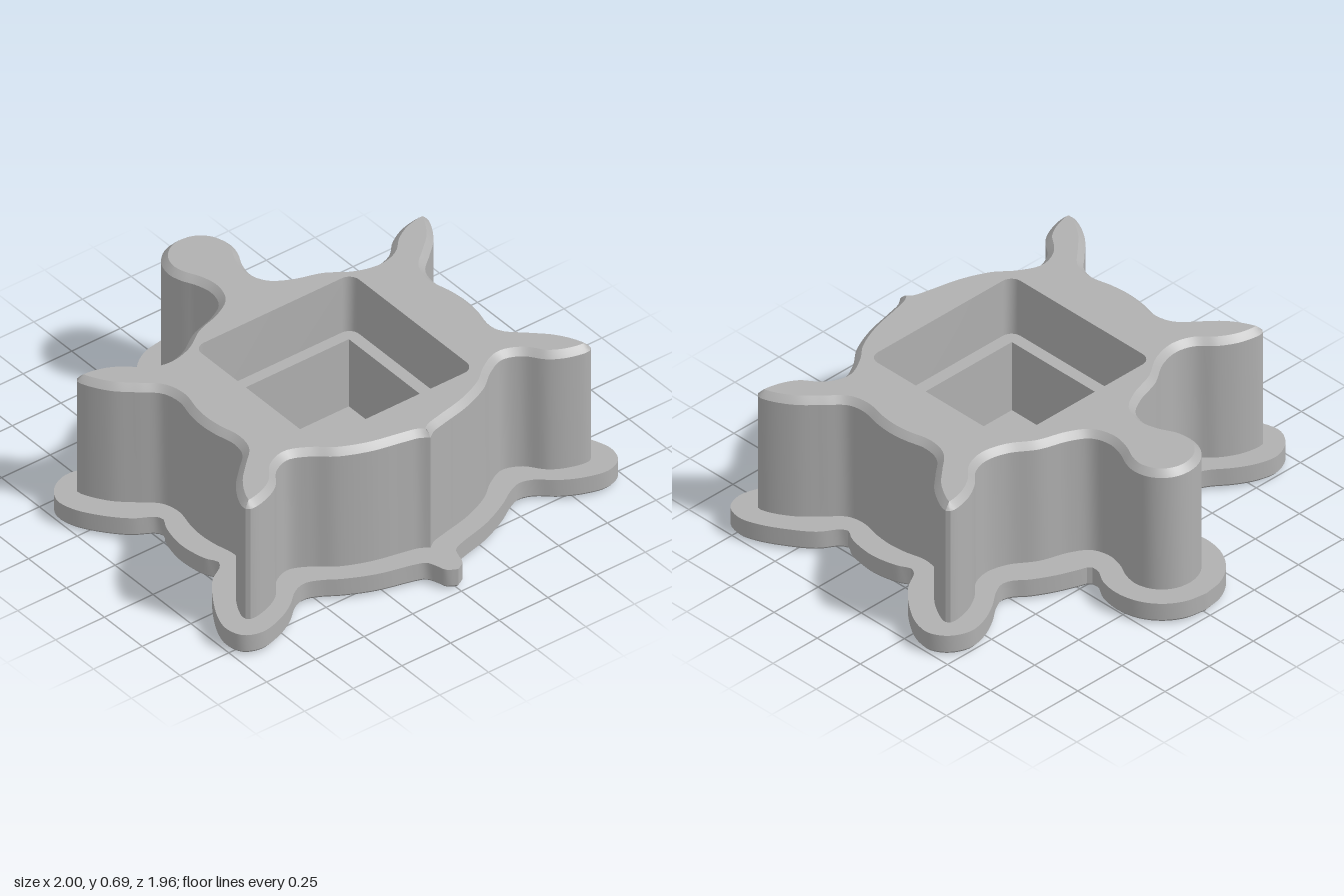
import * as THREE from 'three';
import { toCreasedNormals } from 'three/addons/utils/BufferGeometryUtils.js';

// Half outlines (x, z pairs) on the +x side, from the head at the back to the tail at the front
const BODY = [0, -.88, .045, -.874, .095, -.85, .14, -.80, .16, -.73, .148, -.665, .115, -.595, .1, -.52, .125, -.44, .2, -.39,
  .33, -.345, .44, -.275, .54, -.252, .62, -.275, .69, -.34, .78, -.388, .88, -.402, .897, -.385, .89, -.35, .83, -.25,
  .75, -.175, .675, -.105, .655, -.02, .675, .08, .682, .16, .675, .24, .655, .34, .67, .415, .74, .485, .82, .565,
  .875, .655, .889, .71, .87, .73, .78, .715, .7, .672, .63, .59, .55, .56, .46, .6, .38, .663, .25, .72, .1, .755, .035, .772, 0, .797];
const PLATE = [0, -.98, .1, -.96, .184, -.904, .24, -.82, .26, -.72, .245, -.63, .207, -.56, .212, -.52, .25, -.505, .35, -.465,
  .45, -.41, .505, -.367, .55, -.355, .6, -.375, .69, -.44, .78, -.485, .87, -.5, .955, -.46, .998, -.39, .995, -.335,
  .97, -.27, .9, -.17, .83, -.1, .75, -.05, .737, -.02, .762, .03, .785, .13, .785, .2, .765, .295, .737, .345,
  .755, .375, .83, .425, .91, .53, .97, .64, .99, .72, .965, .795, .89, .828, .78, .803, .69, .755, .61, .69,
  .55, .673, .49, .695, .41, .745, .28, .805, .115, .85, .075, .868, .057, .91, .042, .955, 0, .98];

// Smooth half curve mirrored into a closed loop of (x, z) points
function outline(flat) {
  const pts = [];
  for (let i = 0; i < flat.length; i += 2) pts.push(new THREE.Vector3(flat[i], flat[i + 1], 0));
  const half = new THREE.CatmullRomCurve3(pts).getSpacedPoints(180).map(p => new THREE.Vector2(p.x, p.y));
  const mirrored = half.slice(1, -1).reverse().map(p => new THREE.Vector2(-p.x, p.y));
  return [...half, ...mirrored];
}

// Move a loop inwards along its local normals
function inset(loop, d) {
  const n = loop.length;
  return loop.map((p, i) => {
    const t = loop[(i + 1) % n].clone().sub(loop[(i + n - 1) % n]).normalize();
    return new THREE.Vector2(p.x - t.y * d, p.y + t.x * d);
  });
}

// Rounded square or circle loop (radius = half size gives a circle)
function roundedLoop(half, radius, cz, steps) {
  const loop = [];
  for (let q = 0; q < 4; q++) {
    const cx = [1, -1, -1, 1][q], cy = [1, 1, -1, -1][q];
    for (let k = 0; k <= steps; k++) {
      if (radius === half && k === steps) continue;
      const a = (q + (steps ? k / steps : 0.5)) * Math.PI / 2;
      loop.push(new THREE.Vector2(
        cx * (half - radius) + radius * Math.cos(a),
        cz + cy * (half - radius) + radius * Math.sin(a)));
    }
  }
  return loop;
}

// Skin between stacked loops, each [loop, y], from low to high
function wall(rings, inward = false) {
  const n = rings[0][0].length, pos = [], idx = [];
  rings.forEach(([loop, y]) => loop.forEach(p => pos.push(p.x, y, p.y)));
  for (let r = 0; r < rings.length - 1; r++) {
    for (let i = 0; i < n; i++) {
      const j = (i + 1) % n, a = r * n + i, b = r * n + j, c = b + n, d = a + n;
      if (inward) idx.push(a, c, d, a, b, c);
      else idx.push(a, d, c, a, c, b);
    }
  }
  const g = new THREE.BufferGeometry();
  g.setAttribute('position', new THREE.Float32BufferAttribute(pos, 3));
  g.setIndex(idx);
  return toCreasedNormals(g, 0.55);
}

// Flat horizontal face with an optional hole
function cap(loop, y, hole, down = false) {
  const flip = p => new THREE.Vector2(p.x, down ? p.y : -p.y);
  const shape = new THREE.Shape(loop.map(flip));
  if (hole) shape.holes.push(new THREE.Path(hole.map(flip)));
  const g = new THREE.ShapeGeometry(shape);
  g.rotateX(down ? Math.PI / 2 : -Math.PI / 2);
  return g.translate(0, y, 0);
}

export function createModel() {
  const model = new THREE.Group();
  const grey = new THREE.MeshStandardMaterial({ color: 0xb0b0b0 });
  const add = (name, geometry) => {
    const mesh = new THREE.Mesh(geometry, grey);
    mesh.name = name;
    model.add(mesh);
  };

  const body = outline(BODY), plate = outline(PLATE);
  const pocket = roundedLoop(0.405, 0.05, 0.16, 6);
  const recess = roundedLoop(0.35, 0, 0.158, 0);
  const hole = roundedLoop(0.125, 0.125, 0.16, 12);
  const plateTop = 0.1, top = 0.685, ledge = 0.41, floor = 0.07;

  // Base plate with a stepped lower edge
  const plateFoot = inset(plate, 0.022);
  add('basePlateSide', wall([[plateFoot, 0], [inset(plate, 0.01), 0.008], [plate, 0.02], [plate, plateTop]]));
  add('basePlateTop', cap(plate, plateTop, body));
  add('basePlateBottom', cap(plateFoot, 0, hole, true));

  // Turtle-shaped body with a bevelled upper edge
  const bodyTop = inset(body, 0.028);
  add('bodySide', wall([[body, plateTop], [body, 0.657], [inset(body, 0.012), 0.67], [bodyTop, top]]));
  add('bodyTop', cap(bodyTop, top, pocket));

  // Pocket, square recess below it and the through hole
  add('pocketWall', wall([[pocket, ledge], [pocket, top]], true));
  add('pocketLedge', cap(pocket, ledge, recess));
  add('recessWall', wall([[recess, floor], [recess, ledge]], true));
  add('recessFloor', cap(recess, floor, hole));
  add('holeWall', wall([[hole, 0], [hole, floor]], true));
  return model;
}
